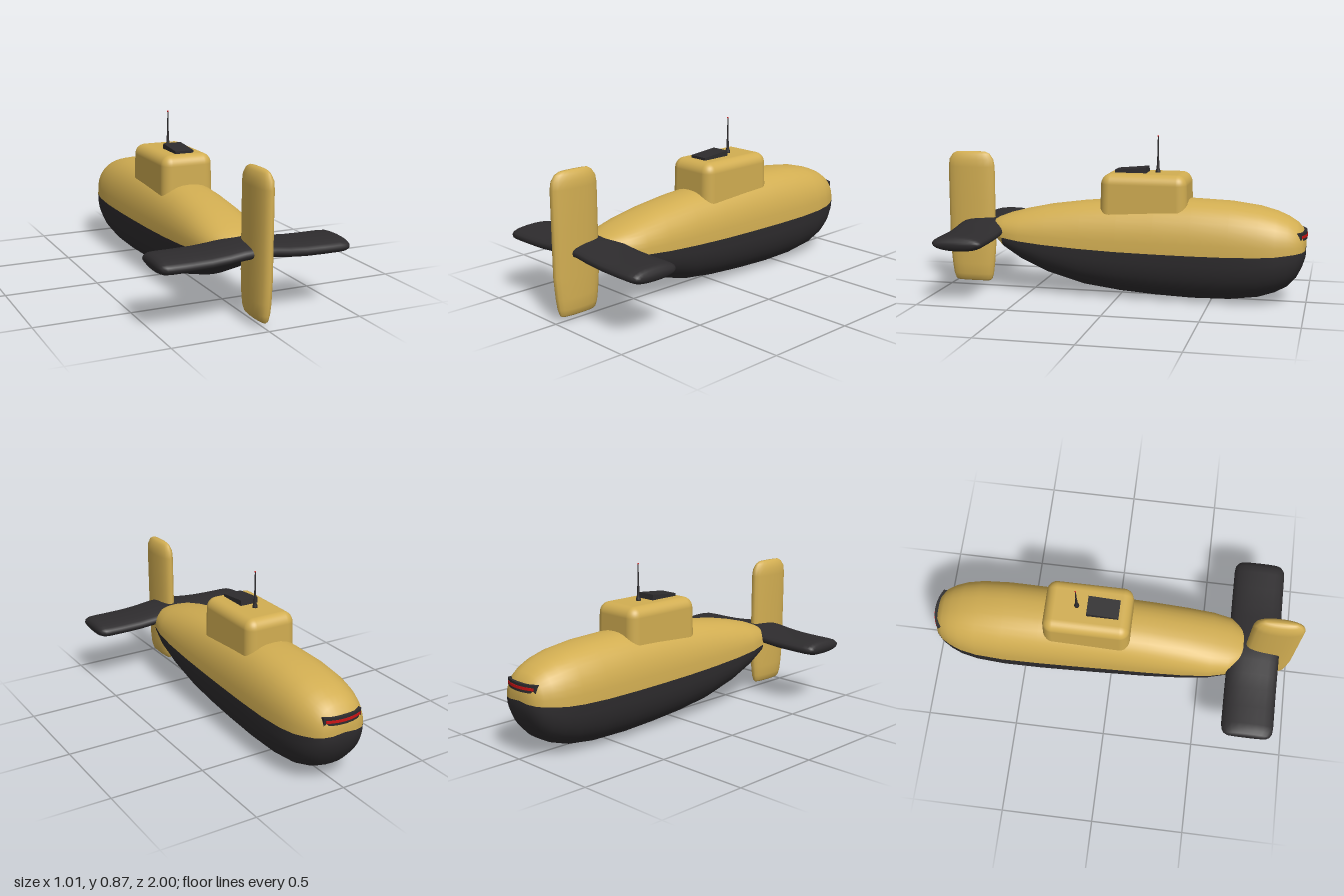
import * as THREE from 'three';
import { RoundedBoxGeometry } from 'three/addons/geometries/RoundedBoxGeometry.js';

const yellow = new THREE.MeshStandardMaterial({ color: 0xd2ae52 });
const dark = new THREE.MeshStandardMaterial({ color: 0x2e2c2e });
const red = new THREE.MeshStandardMaterial({ color: 0xcc1414 });

// Skin a list of equal-length rings, ordered counter-clockwise about the loft direction
function loft(rings, closed) {
  const n = rings[0].length, pos = [], index = [];
  rings.forEach(ring => ring.forEach(p => pos.push(...p)));
  for (let i = 0; i < rings.length - 1; i++) {
    for (let j = 0; j < (closed ? n : n - 1); j++) {
      const k = (j + 1) % n;
      const a = i * n + j, b = i * n + k, c = a + n, d = b + n;
      index.push(a, b, d, a, d, c);
    }
  }
  const g = new THREE.BufferGeometry();
  g.setAttribute('position', new THREE.Float32BufferAttribute(pos, 3));
  g.setIndex(index);
  g.computeVertexNormals();
  return g;
}

// Signed power for superellipse sections
const sp = (v, e) => Math.sign(v) * Math.pow(Math.abs(v), e);

// Hull stations: z, top y, bottom y, half width, waterline y
const stations = [
  [-0.99, 0.32, 0.29, 0.0, 0.30],
  [-0.99, 0.365, 0.25, 0.07, 0.295],
  [-0.975, 0.405, 0.20, 0.115, 0.292],
  [-0.945, 0.435, 0.14, 0.145, 0.288],
  [-0.9, 0.463, 0.092, 0.17, 0.284],
  [-0.84, 0.488, 0.058, 0.192, 0.278],
  [-0.75, 0.512, 0.028, 0.208, 0.274],
  [-0.6, 0.532, 0.008, 0.215, 0.27],
  [-0.4, 0.54, 0.003, 0.212, 0.268],
  [-0.2, 0.536, 0.01, 0.206, 0.268],
  [0, 0.525, 0.024, 0.2, 0.27],
  [0.2, 0.51, 0.05, 0.196, 0.277],
  [0.4, 0.482, 0.107, 0.19, 0.288],
  [0.54, 0.452, 0.172, 0.181, 0.3],
  [0.64, 0.425, 0.24, 0.16, 0.312],
  [0.7, 0.402, 0.296, 0.115, 0.332],
  [0.73, 0.385, 0.327, 0.07, 0.347],
  [0.74, 0.37, 0.345, 0.04, 0.355],
  [0.74, 0.357, 0.355, 0.0, 0.356],
];

// Half hull: start angle 0 is the upper half, PI the lower half
function hullHalf(rows, start) {
  const steps = 20;
  return loft(rows.map(([z, top, bottom, w, mid]) => {
    const ring = [];
    for (let j = 0; j <= steps; j++) {
      const t = start + Math.PI * j / steps;
      const h = start === 0 ? top - mid : mid - bottom;
      ring.push([w * sp(Math.cos(t), 0.84), mid + h * sp(Math.sin(t), 0.84), z]);
    }
    return ring;
  }), false);
}

// Rounded blade: span position, chord scale, thickness scale; place() maps to 3D
function blade(spans, place) {
  return loft(spans.map(([s, c, t]) => {
    const ring = [];
    for (let j = 0; j < 20; j++) {
      const a = Math.PI * 2 * j / 20;
      ring.push(place(s, sp(Math.cos(a), 0.9), sp(Math.sin(a), 0.9), c, t));
    }
    return ring;
  }), true);
}

export function createModel() {
  const model = new THREE.Group();
  const add = (name, geometry, material, x = 0, y = 0, z = 0) => {
    const mesh = new THREE.Mesh(geometry, material);
    mesh.name = name;
    mesh.position.set(x, y, z);
    model.add(mesh);
    return mesh;
  };

  // Hull: upper shell, keel and the underside of the tail
  add('upperHull', hullHalf(stations, 0), yellow);
  add('lowerHull', hullHalf(stations.slice(0, 15), Math.PI), dark);
  add('tailUnderside', hullHalf(stations.slice(14), Math.PI), yellow);

  // Tower, narrowing slightly toward the top
  const tower = new RoundedBoxGeometry(0.296, 0.3, 0.475, 5, 0.055);
  const p = tower.attributes.position;
  for (let i = 0; i < p.count; i++) {
    const k = 1 - 0.2 * Math.max(0, p.getY(i) + 0.02);
    p.setX(i, p.getX(i) * k);
    p.setZ(i, p.getZ(i) * k);
  }
  add('tower', tower, yellow, 0, 0.525, -0.138);

  // Tilted hatch and antenna on the tower
  add('hatch', new THREE.BoxGeometry(0.104, 0.04, 0.17), dark, 0, 0.677, -0.057).rotation.x = 0.09;
  const mast = [[0, 0], [0.014, 0], [0.013, 0.015], [0.008, 0.03], [0.004, 0.11], [0.0025, 0.2], [0, 0.2]];
  add('antenna', new THREE.LatheGeometry(mast.map(q => new THREE.Vector2(...q)), 12), dark, 0, 0.67, -0.197);
  add('antennaTip', new THREE.SphereGeometry(0.0045, 10, 8), red, 0, 0.871, -0.197);

  // Vertical tail fin
  const finSpans = [
    [0.03, 0, 0], [0.03, 0.72, 0.4], [0.04, 0.8, 0.65], [0.07, 0.87, 0.9], [0.13, 0.93, 1], [0.24, 1, 1],
    [0.5, 1, 1], [0.68, 1, 1], [0.72, 0.95, 0.95], [0.75, 0.8, 0.65], [0.763, 0.62, 0.35], [0.765, 0, 0],
  ];
  add('tailFin', blade(finSpans, (s, u, v, c, t) => [0.042 * v * t, s, 0.864 + 0.136 * u * c]), yellow);

  // Stern planes, one continuous blade arched over the tail
  const half = [[0, 1, 1], [0.08, 1, 1], [0.16, 1, 1], [0.25, 1, 1], [0.35, 1, 1], [0.44, 1, 1],
    [0.475, 0.97, 0.97], [0.495, 0.88, 0.75], [0.505, 0.75, 0.4], [0.505, 0, 0]];
  const planeSpans = [...half.slice(1).reverse().map(([s, c, t]) => [-s, c, t]), ...half];
  add('sternPlanes', blade(planeSpans, (s, u, v, c, t) => {
    const arch = 0.025 * Math.exp(-Math.pow(s / 0.16, 2));
    return [s, 0.333 + arch + 0.04 * u * t, 0.775 + 0.14 * v * c];
  }), dark);

  // Curved light bar across the bow
  const bar = (w, h, front, back) => {
    const shape = new THREE.Shape();
    shape.moveTo(-w, -front + 0.028 * (w / 0.11) ** 2);
    for (let i = 1; i <= 10; i++) {
      const x = -w + 2 * w * i / 10;
      shape.lineTo(x, -front + 0.028 * (x / 0.11) ** 2);
    }
    shape.lineTo(w, -back);
    shape.lineTo(-w, -back);
    const g = new THREE.ExtrudeGeometry(shape, { depth: h, bevelEnabled: false });
    return g.rotateX(Math.PI / 2).translate(0, h / 2, 0);
  };
  add('lightBar', bar(0.11, 0.042, 0.997, 0.93), dark, 0, 0.372, 0);
  add('lightStrip', bar(0.1, 0.014, 1, 0.94), red, 0, 0.372, 0);

  return model;
}
